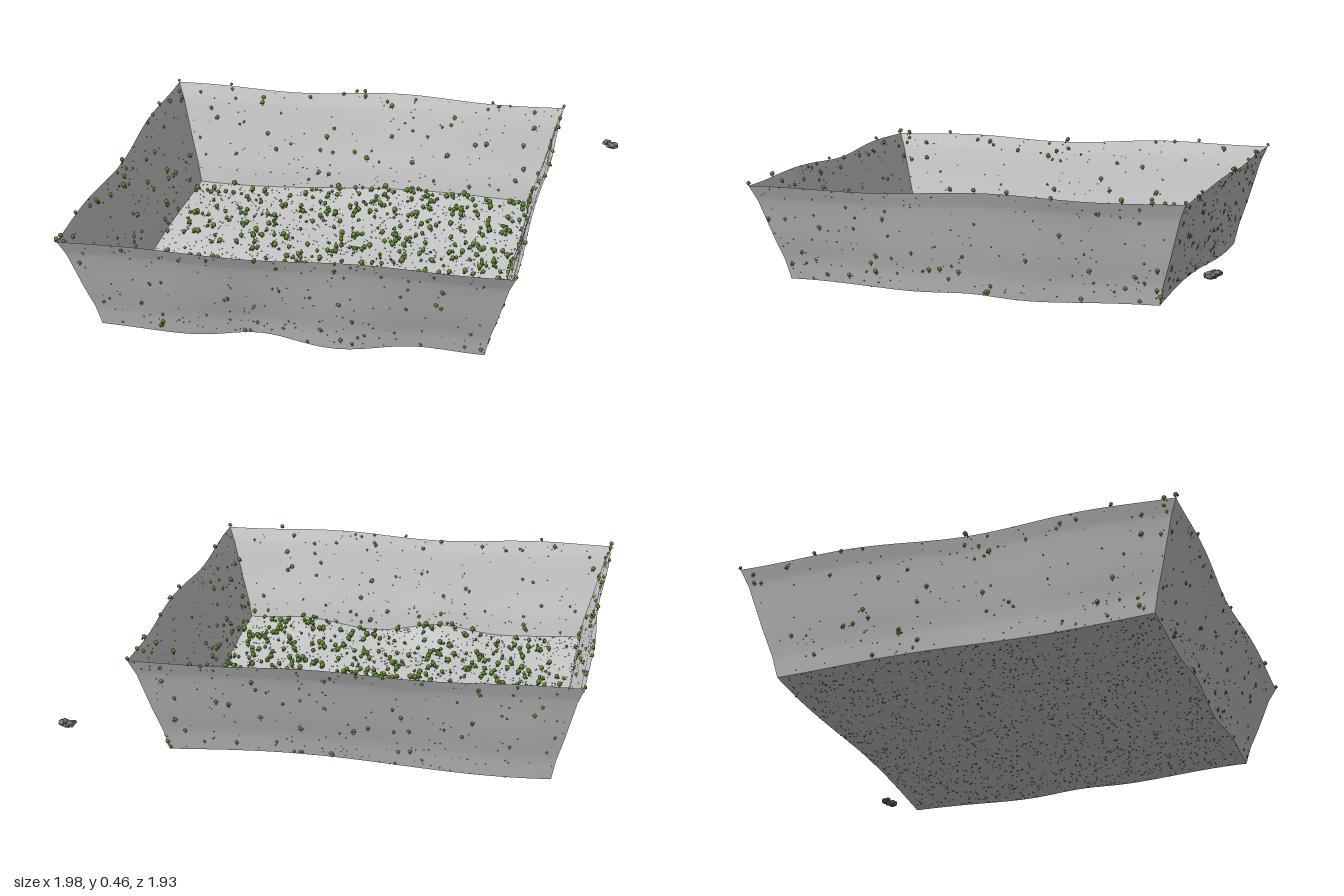
import * as THREE from 'three';
import { mergeGeometries } from 'three/addons/utils/BufferGeometryUtils.js';

const CX = -0.11, CZ = 0.07, HALF = 0.745; // centre and half width of the floor

// wall profile: [outward offset, height above floor edge (0) to rim (1)]
const PROFILE = [[0, 0], [0.018, 0.2], [0.05, 0.45], [0.095, 0.84], [0.122, 1]];

let seed = 7;
const rand = () => {
  seed = (seed * 16807) % 2147483647;
  return seed / 2147483647;
};
const range = (a, b) => a + (b - a) * rand();

// rolling ground with raised bumps along the front edge and one on the +x edge
function floorHeight(x, z) {
  const bump = (d, w) => Math.exp(-((d / w) ** 2));
  const front = THREE.MathUtils.smoothstep(z, 0.5, 0.82);
  const left = THREE.MathUtils.smoothstep(x, 0.3, 0.64);
  return 0.04 + 0.012 * Math.sin(4 * x + 2.5 * z + 3) + 0.01 * Math.sin(5 * z - 3 * x)
    + front * (0.055 * bump(x + 0.22, 0.2) + 0.03 * bump(x - 0.35, 0.2))
    + left * 0.02 * bump(z - 0.08, 0.18);
}

// grid surface from a rule (u, v in 0..1) => Vector3
function gridSurface(point, nu, nv) {
  const positions = [], index = [];
  for (let j = 0; j <= nv; j++)
    for (let i = 0; i <= nu; i++) positions.push(...point(i / nu, j / nv).toArray());
  for (let j = 0; j < nv; j++)
    for (let i = 0; i < nu; i++) {
      const a = j * (nu + 1) + i, b = a + 1, c = a + nu + 1, d = c + 1;
      index.push(a, c, b, b, c, d);
    }
  const g = new THREE.BufferGeometry();
  g.setAttribute('position', new THREE.Float32BufferAttribute(positions, 3));
  g.setIndex(index);
  g.computeVertexNormals();
  return g;
}

const floorPoint = (u, v) => {
  const x = CX + (u * 2 - 1) * HALF, z = CZ + (v * 2 - 1) * HALF;
  return new THREE.Vector3(x, floorHeight(x, z), z);
};

// point on one of the four flared walls; side 0 front, 1 left, 2 back, 3 right
function wallPoint(side, u, t) {
  const k = Math.min(Math.floor(t * 4), 3), f = t * 4 - k;
  const out = THREE.MathUtils.lerp(PROFILE[k][0], PROFILE[k + 1][0], f);
  const rise = THREE.MathUtils.lerp(PROFILE[k][1], PROFILE[k + 1][1], f);
  const fade = Math.sin(Math.PI * u);
  const along = (u * 2 - 1) * (HALF + out);
  const away = HALF + out + t * fade * 0.01 * Math.sin(9 * u + side * 2);
  const [s, c] = [Math.sin(side * Math.PI / 2), Math.cos(side * Math.PI / 2)];
  const x = CX + along * c + away * s, z = CZ - along * s + away * c;
  const ex = THREE.MathUtils.clamp(x, CX - HALF, CX + HALF);
  const ez = THREE.MathUtils.clamp(z, CZ - HALF, CZ + HALF);
  const rim = 0.447 + fade * 0.012 * Math.sin(10 * u + side * 1.7 + 0.5);
  return new THREE.Vector3(x, THREE.MathUtils.lerp(floorHeight(ex, ez), rim, rise), z);
}

// small plant: thin stem, round crown and a side tuft
function plantGeometry(p, size) {
  const stem = new THREE.ConeGeometry(size * 0.25, size * 1.6, 3, 1, true).toNonIndexed();
  stem.translate(0, size * 0.6, 0);
  const crown = new THREE.IcosahedronGeometry(size, 1).translate(0, size * 1.4, 0);
  const tuft = new THREE.IcosahedronGeometry(size * 0.5, 0).translate(size * 0.9, size * 0.7, 0);
  return mergeGeometries([stem, crown, tuft]).rotateY(range(0, 6.28)).translate(p.x, p.y, p.z);
}

function pebbleGeometry(p, size) {
  return new THREE.OctahedronGeometry(size, 0)
    .scale(1, 0.7, 0.8)
    .rotateY(range(0, 6.28))
    .translate(p.x, p.y, p.z);
}

export function createModel() {
  const group = new THREE.Group();
  const ground = new THREE.MeshStandardMaterial({ color: 0xcccccc, side: THREE.DoubleSide });
  const green = new THREE.MeshStandardMaterial({ color: 0x5f8a32 });
  const stone = new THREE.MeshStandardMaterial({ color: 0x77777c, flatShading: true });
  const add = (name, geometry, material) => {
    const mesh = new THREE.Mesh(geometry, material);
    mesh.name = name;
    group.add(mesh);
  };

  // rolling floor and four flared walls
  add('floor', gridSurface(floorPoint, 40, 40), ground);
  ['frontWall', 'leftWall', 'backWall', 'rightWall'].forEach((name, side) =>
    add(name, gridSurface((u, v) => wallPoint(side, u, 1 - v), 40, 12), ground));

  // scatter over the floor, sparser towards the right, and thinly over the walls
  const plants = [], pebbles = [];
  while (plants.length < 720) {
    const u = rand();
    if (rand() < 0.45 + 0.55 * Math.min(1, u * 2))
      plants.push(plantGeometry(floorPoint(u, rand()), range(0.005, 0.012)));
  }
  for (let i = 0; i < 1600; i++) pebbles.push(pebbleGeometry(floorPoint(rand(), rand()), range(0.002, 0.005)));
  for (let side = 0; side < 4; side++) {
    for (let i = 0; i < 60; i++) plants.push(plantGeometry(wallPoint(side, rand(), rand()), range(0.004, 0.01)));
    for (let i = 0; i < 140; i++) pebbles.push(pebbleGeometry(wallPoint(side, rand(), rand()), range(0.002, 0.005)));
    // tufts along the rim
    for (const u of [0, 0.18, 0.53, 0.86]) plants.push(plantGeometry(wallPoint(side, u, 1), range(0.006, 0.01)));
  }
  add('plants', mergeGeometries(plants), green);
  add('pebbles', mergeGeometries(pebbles), stone);

  // loose rock cluster floating beyond the back corner
  const lumps = [[0.943, 0.238, -0.955, 0.02], [0.973, 0.234, -0.932, 0.024], [0.957, 0.232, -0.94, 0.022], [0.936, 0.24, -0.94, 0.015]];
  add('looseRock', mergeGeometries(lumps.map(([x, y, z, r], i) =>
    new THREE.DodecahedronGeometry(r, 0).rotateY(i).scale(1, 0.65, 1).translate(x, y, z))), stone);

  // stand on the ground
  const box = new THREE.Box3().setFromObject(group);
  group.children.forEach((m) => { m.position.y = -box.min.y; });
  return group;
}
